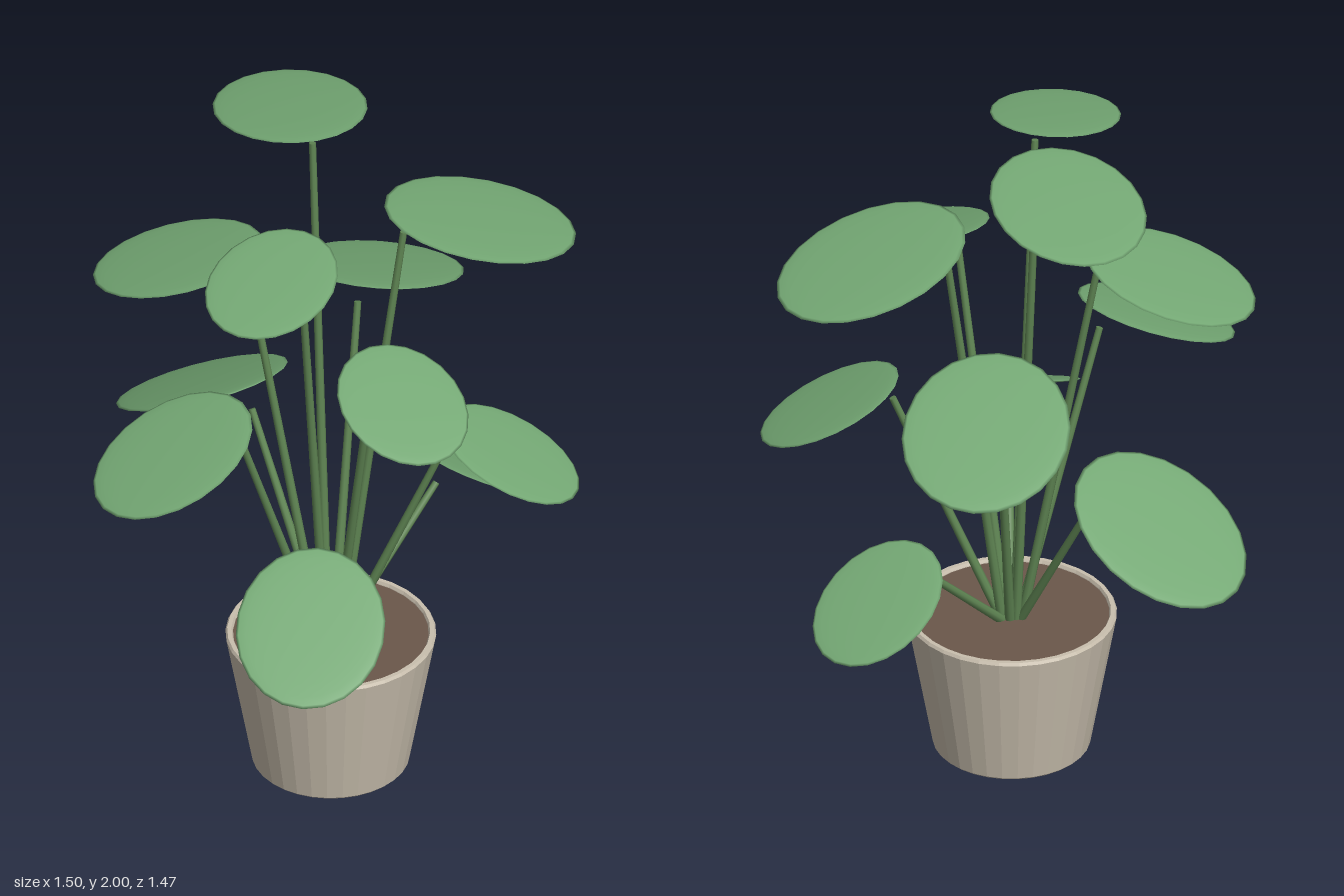
import * as THREE from 'three';

const POT_X = -0.015, POT_Z = 0.105;

// Leaf centres, half-length and vertical drop from centre to tip
const LEAVES = [
  { at: [0.035, 0.94, -0.485], size: 0.282, drop: 0.13 },
  { at: [-0.225, 1.575, -0.3], size: 0.252, drop: 0.075 },
  { at: [0.145, 1.95, -0.24], size: 0.257, drop: 0.048 },
  { at: [0.425, 1.315, -0.178], size: 0.284, drop: 0.104 },
  { at: [0.41, 1.695, 0.258], size: 0.284, drop: 0.075 },
  { at: [0.56, 0.71, 0.105], size: 0.216, drop: 0.11 },
  { at: [-0.523, 1.2, 0.007], size: 0.249, drop: 0.099 },
  { at: [-0.367, 1.83, 0.245], size: 0.217, drop: 0.05 },
  { at: [-0.445, 0.825, 0.493], size: 0.252, drop: 0.124 },
  { at: [-0.13, 1.455, 0.53], size: 0.216, drop: 0.075 },
  { at: [0.297, 1.08, 0.508], size: 0.217, drop: 0.098 },
];

export function createModel() {
  const model = new THREE.Group();
  model.name = 'pottedPlant';
  const potMat = new THREE.MeshStandardMaterial({ color: 0xc9bfae, flatShading: true });
  const soilMat = new THREE.MeshStandardMaterial({ color: 0x6b574b });
  const stemMat = new THREE.MeshStandardMaterial({ color: 0x5f8553 });
  const leafMat = new THREE.MeshStandardMaterial({ color: 0x74a874 });

  const add = (name, geometry, material, parent = model) => {
    const mesh = new THREE.Mesh(geometry, material);
    mesh.name = name;
    parent.add(mesh);
    return mesh;
  };

  // Tapered pot with a thin, slightly bevelled rim
  const profile = [
    [0, 0], [0.215, 0], [0.221, 0.006], [0.295, 0.417], [0.29, 0.425],
    [0.278, 0.425], [0.274, 0.417], [0.27, 0.395],
  ].map(([r, y]) => new THREE.Vector2(r, y));
  add('pot', new THREE.LatheGeometry(profile, 32), potMat).position.set(POT_X, 0, POT_Z);

  // Soil disc just below the rim
  const soil = add('soil', new THREE.CylinderGeometry(0.275, 0.27, 0.02, 32), soilMat);
  soil.position.set(POT_X, 0.405, POT_Z);

  // Each leaf is a thin oval disc that slopes outward, on a straight tapered stem
  const up = new THREE.Vector3(0, 1, 0);
  const disc = new THREE.SphereGeometry(1, 22, 12);
  LEAVES.forEach(({ at, size, drop }, i) => {
    const branch = new THREE.Group();
    branch.name = `branch${i + 1}`;
    model.add(branch);

    const centre = new THREE.Vector3(...at);
    const out = new THREE.Vector3(at[0] - POT_X, 0, at[2] - POT_Z).normalize();
    const slope = Math.asin(drop / size);
    const along = out.clone().multiplyScalar(Math.cos(slope)).addScaledVector(up, -Math.sin(slope));
    const across = new THREE.Vector3().crossVectors(out, up).normalize();
    const normal = new THREE.Vector3().crossVectors(across, along);

    const leaf = add('leaf', disc, leafMat, branch);
    leaf.quaternion.setFromRotationMatrix(new THREE.Matrix4().makeBasis(along, normal, across));
    leaf.scale.set(size, size * 0.042, size * 0.83);
    leaf.position.copy(centre);

    const base = new THREE.Vector3(POT_X, 0.4, POT_Z).addScaledVector(out, 0.03);
    const tip = centre.clone().addScaledVector(out, -0.815 * size);
    tip.y += 0.28 * drop;
    const dir = tip.clone().sub(base);
    const stem = add('stem', new THREE.CylinderGeometry(0.01, 0.014, dir.length(), 8), stemMat, branch);
    stem.position.copy(base).addScaledVector(dir, 0.5);
    stem.quaternion.setFromUnitVectors(up, dir.normalize());
  });

  return model;
}
